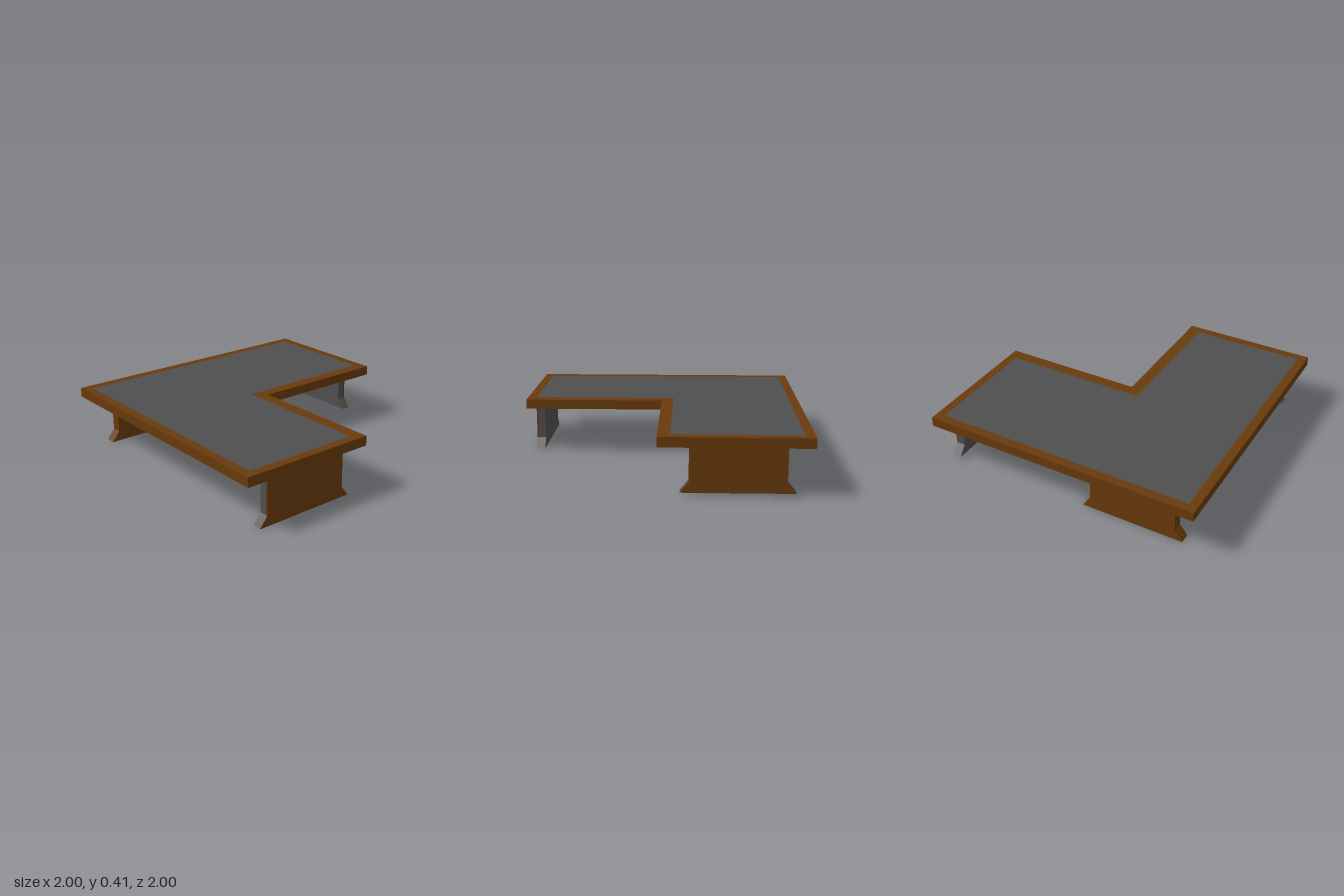
import * as THREE from 'three';

const wood = new THREE.MeshStandardMaterial({ color: 0x693a0c });
wood.name = 'brown wood';
const slate = new THREE.MeshStandardMaterial({ color: 0x4f4f4f });
slate.name = 'dark grey';

const TOP = 0.405, UNDER = 0.337;

function extrude(name, shape, depth, material) {
  const geometry = new THREE.ExtrudeGeometry(shape, { depth, bevelEnabled: false });
  const mesh = new THREE.Mesh(geometry, material);
  mesh.name = name;
  return mesh;
}

// L-shaped outline in x and z: notch corner at (nx, nz), outer edges inset from the unit square
function outline(inset, nx, nz) {
  const e = 1 - inset;
  return [[-e, -e], [e, -e], [e, nz], [nx, nz], [nx, e], [-e, e]]
    .map(([x, z]) => new THREE.Vector2(x, -z));
}

// Upright board whose two ends flare out at the foot
function legShape(height) {
  const body = 0.315, foot = 0.372, flare = 0.073;
  return new THREE.Shape([
    [-foot, 0], [foot, 0], [body, flare], [body, height], [-body, height], [-body, flare],
  ].map(([x, y]) => new THREE.Vector2(x, y)));
}

// Grey board with a thin wooden facing on its outer side
function facedLeg(name, height) {
  const leg = new THREE.Group();
  leg.name = name;
  const board = extrude(name + 'Board', legShape(height), 0.053, slate);
  const facing = extrude(name + 'Facing', legShape(height), 0.012, wood);
  facing.position.z = 0.053;
  leg.add(board, facing);
  return leg;
}

export function createModel() {
  const model = new THREE.Group();
  model.name = 'cornerTable';

  // Table top: wooden frame around a flush grey slab
  const inner = outline(0.063, -0.11, -0.085);
  const frameShape = new THREE.Shape(outline(0, -0.022, 0));
  frameShape.holes.push(new THREE.Path(inner));
  const frame = extrude('topFrame', frameShape, TOP - UNDER, wood);
  const slab = extrude('topSlab', new THREE.Shape(inner), TOP - UNDER, slate);
  for (const part of [frame, slab]) {
    part.rotation.x = -Math.PI / 2;
    part.position.y = UNDER;
    model.add(part);
  }

  // Front leg
  const frontLeg = facedLeg('frontLeg', UNDER);
  frontLeg.position.set(-0.503, 0, 0.89);

  // Left leg, turned to face sideways and slightly shorter
  const leftLeg = facedLeg('leftLeg', UNDER - 0.025);
  leftLeg.rotation.y = Math.PI / 2;
  leftLeg.position.set(0.888, 0.025, -0.518);

  // Back leg, all wood
  const backLeg = extrude('backLeg', legShape(UNDER), 0.075, wood);
  backLeg.position.set(-0.503, 0, -0.873);

  model.add(frontLeg, leftLeg, backLeg);
  return model;
}
